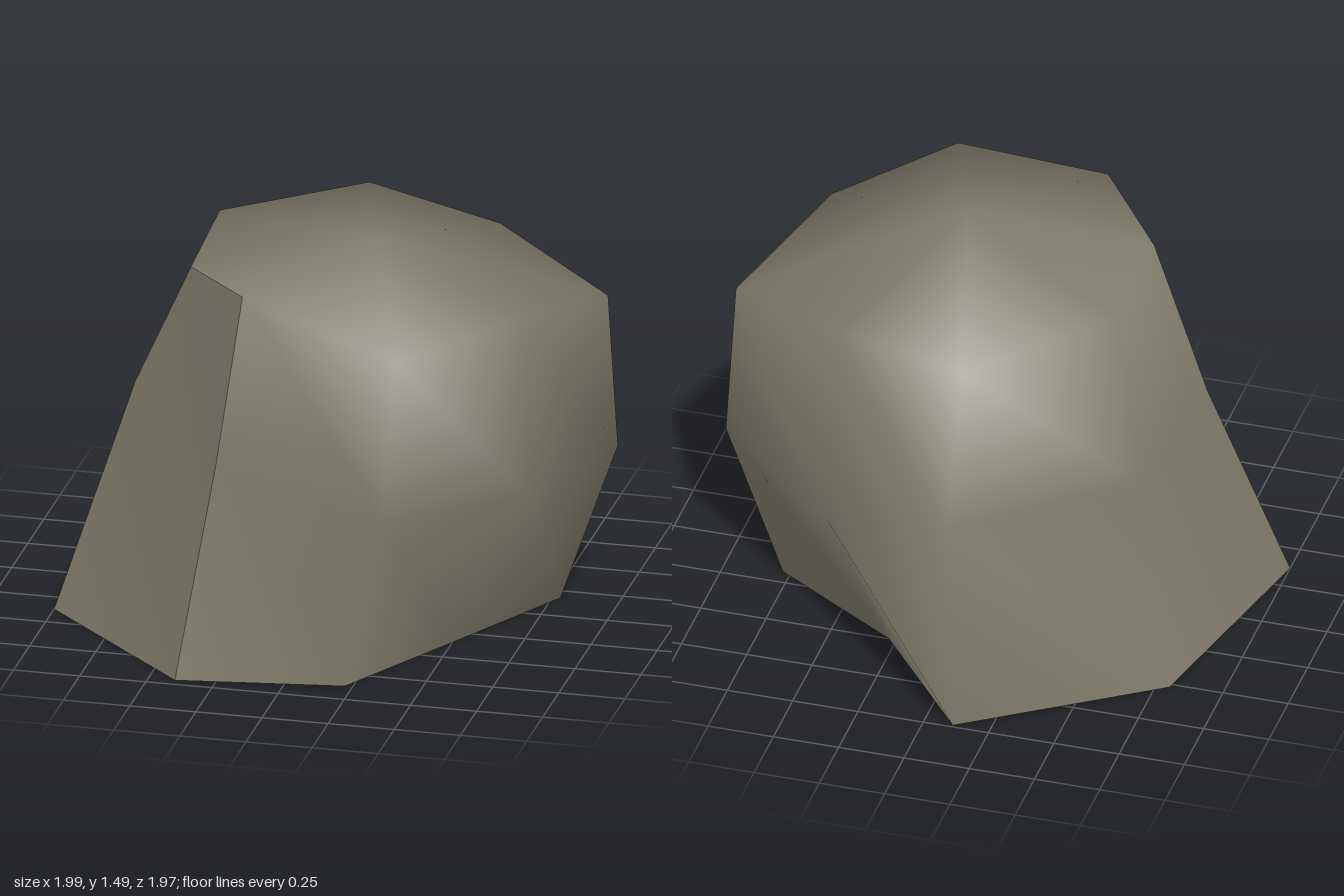
import * as THREE from 'three';

// Matching rings of eight corners, from the front-left cut round the front to the back
const base = [[-1, 0, .37], [-.4, 0, .96], [.22, 0, .87], [.5, 0, .35],
  [.78, 0, -.18], [.28, 0, -.5], [-.11, 0, -.99], [-.8, 0, -.52]];
const middle = [[-.74, .85, .18], [-.28, .81, .81], [.39, .7, .98], [.82, .64, .45],
  [.99, .61, -.21], [.47, .59, -.66], [-.04, .75, -.83], [-.64, .77, -.36]];
const shoulder = [[-.5, 1.37, .3], [-.22, 1.41, .65], [.42, 1.29, .87], [.76, 1.31, .38],
  [.96, 1.21, -.18], [.47, 1.32, -.52], [-.07, 1.36, -.71], [-.52, 1.39, -.23]];
const apex = [.17, 1.49, .15];
const N = base.length;

const points = [...base, ...middle, ...shoulder, apex, [0, 0, 0]];
const APEX = 3 * N, CENTRE = 3 * N + 1;

// Indexed faces share corners, so each part is smooth within itself and sharp against the others
function makePart(name, faces, material) {
  const used = [...new Set(faces)];
  const geometry = new THREE.BufferGeometry();
  geometry.setAttribute('position',
    new THREE.Float32BufferAttribute(used.flatMap((i) => points[i]), 3));
  geometry.setIndex(faces.map((i) => used.indexOf(i)));
  geometry.computeVertexNormals();
  const mesh = new THREE.Mesh(geometry, material);
  mesh.name = name;
  return mesh;
}

export function createModel() {
  const stone = new THREE.MeshStandardMaterial({ color: 0x807c6a });
  stone.name = 'stone';

  const body = [], cut = [], underside = [];
  for (let i = 0; i < N; i++) {
    const j = (i + 1) % N;
    // Two bands of side faces; the first column is the flat cut
    const side = i === 0 ? cut : body;
    for (const r of [0, N]) {
      side.push(r + i, r + j, r + N + i, r + j, r + N + j, r + N + i);
    }
    // Crown and underside fans
    body.push(2 * N + i, 2 * N + j, APEX);
    underside.push(j, i, CENTRE);
  }

  const rock = new THREE.Group();
  rock.name = 'rock';
  rock.add(
    makePart('roundedBody', body, stone),
    makePart('flatCut', cut, stone),
    makePart('underside', underside, stone),
  );
  return rock;
}
